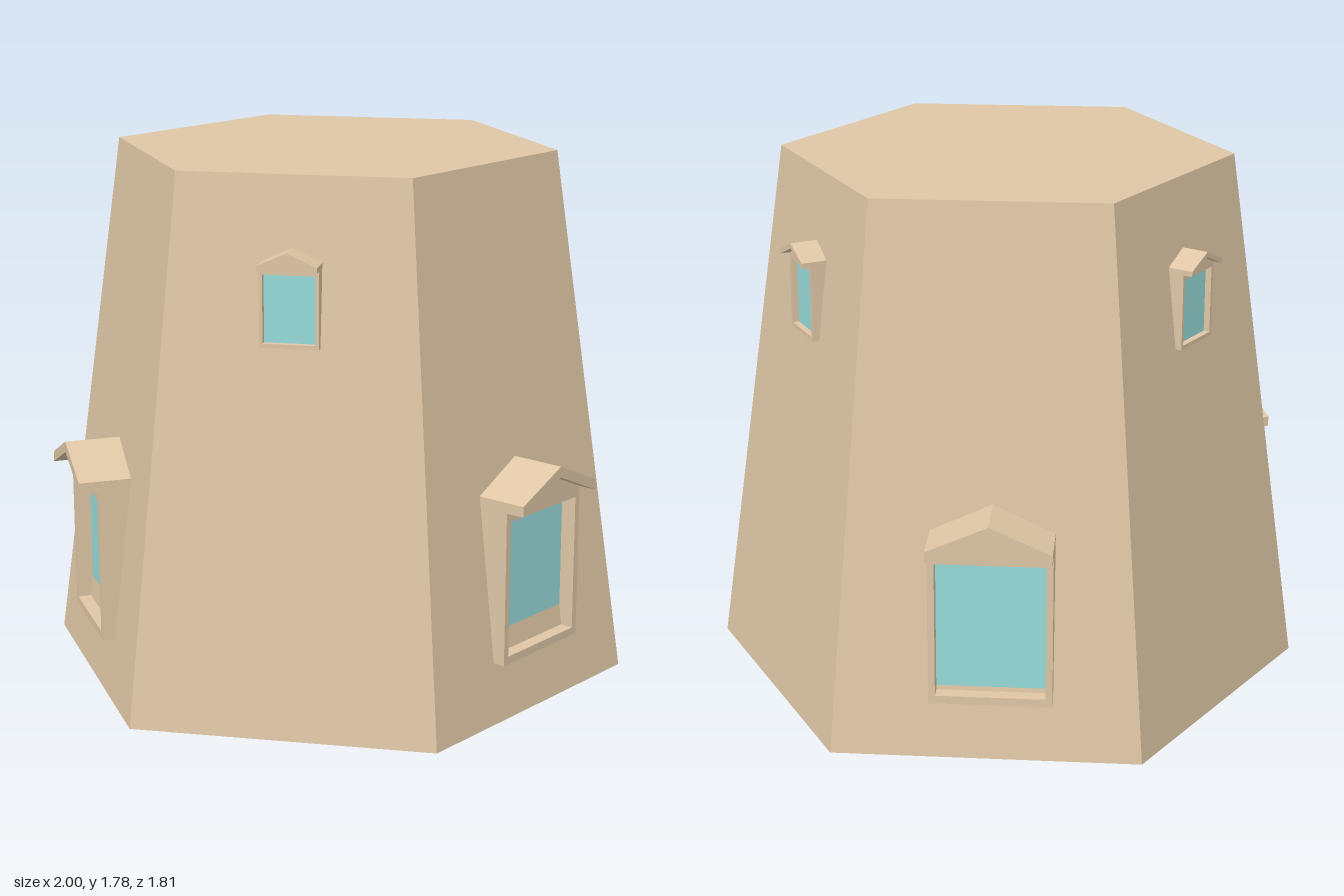
import * as THREE from 'three';

const stone = new THREE.MeshStandardMaterial({ color: 0xdec6a5, flatShading: true });
const glass = new THREE.MeshStandardMaterial({ color: 0x98dcda, side: THREE.DoubleSide });

const shapeOf = (points) => new THREE.Shape(points.map(([x, y]) => new THREE.Vector2(x, y)));

// extrudes a shape backwards from z = front
function slab(shape, front, depth) {
  const geometry = new THREE.ExtrudeGeometry(shape, { depth, bevelEnabled: false });
  geometry.translate(0, 0, front - depth);
  return geometry;
}

function addPart(group, name, geometry, material) {
  const mesh = new THREE.Mesh(geometry, material);
  mesh.name = name;
  group.add(mesh);
  return mesh;
}

// gabled window; origin at the bottom centre of the frame's front
function createDormer(glassDepth) {
  const dormer = new THREE.Group();
  const w = 0.197;

  // pentagonal frame with a rectangular opening
  const frame = shapeOf([[-w, 0], [w, 0], [w, 0.515], [0, 0.602], [-w, 0.515]]);
  frame.holes.push(new THREE.Path([[-0.175, 0.027], [-0.175, 0.482], [0.175, 0.482], [0.175, 0.027]]
    .map(([x, y]) => new THREE.Vector2(x, y))));
  addPart(dormer, 'windowFrame', slab(frame, 0, 0.17), stone);

  // chevron roof overhanging the frame
  const roof = shapeOf([[-w, 0.515], [0, 0.602], [w, 0.515], [w, 0.55], [0, 0.638], [-w, 0.55]]);
  addPart(dormer, 'windowRoof', slab(roof, 0.064, 0.235), stone);

  // recessed pane
  const pane = addPart(dormer, 'windowGlass', new THREE.PlaneGeometry(0.35, 0.455), glass);
  pane.position.set(0, 0.2545, -glassDepth);
  return dormer;
}

export function createModel() {
  const model = new THREE.Group();
  model.name = 'hexagonalTower';
  const tower = new THREE.Group();
  tower.name = 'tower';
  tower.position.z = -0.04;
  model.add(tower);

  // tapered six-sided body with corners on the x axis
  const height = 1.78;
  const body = addPart(tower, 'towerBody',
    new THREE.CylinderGeometry(0.745, 1, height, 6, 1, false, Math.PI / 6), stone);
  body.position.y = height / 2;

  // large low windows alternate with small high ones around the faces
  for (let i = 0; i < 6; i++) {
    const large = i % 2 === 0;
    const side = new THREE.Group();
    side.name = large ? 'largeWindow' : 'smallWindow';
    side.rotation.y = (i * Math.PI) / 3;
    const dormer = createDormer(i === 2 ? 0.046 : large ? 0.053 : 0.044);
    dormer.name = 'dormer';
    if (large) {
      dormer.position.set(0.017, 0.2, 0.882);
    } else {
      dormer.position.set(0.004, 1.25, 0.732);
      dormer.scale.setScalar(0.48);
    }
    side.add(dormer);
    tower.add(side);
  }
  return model;
}
